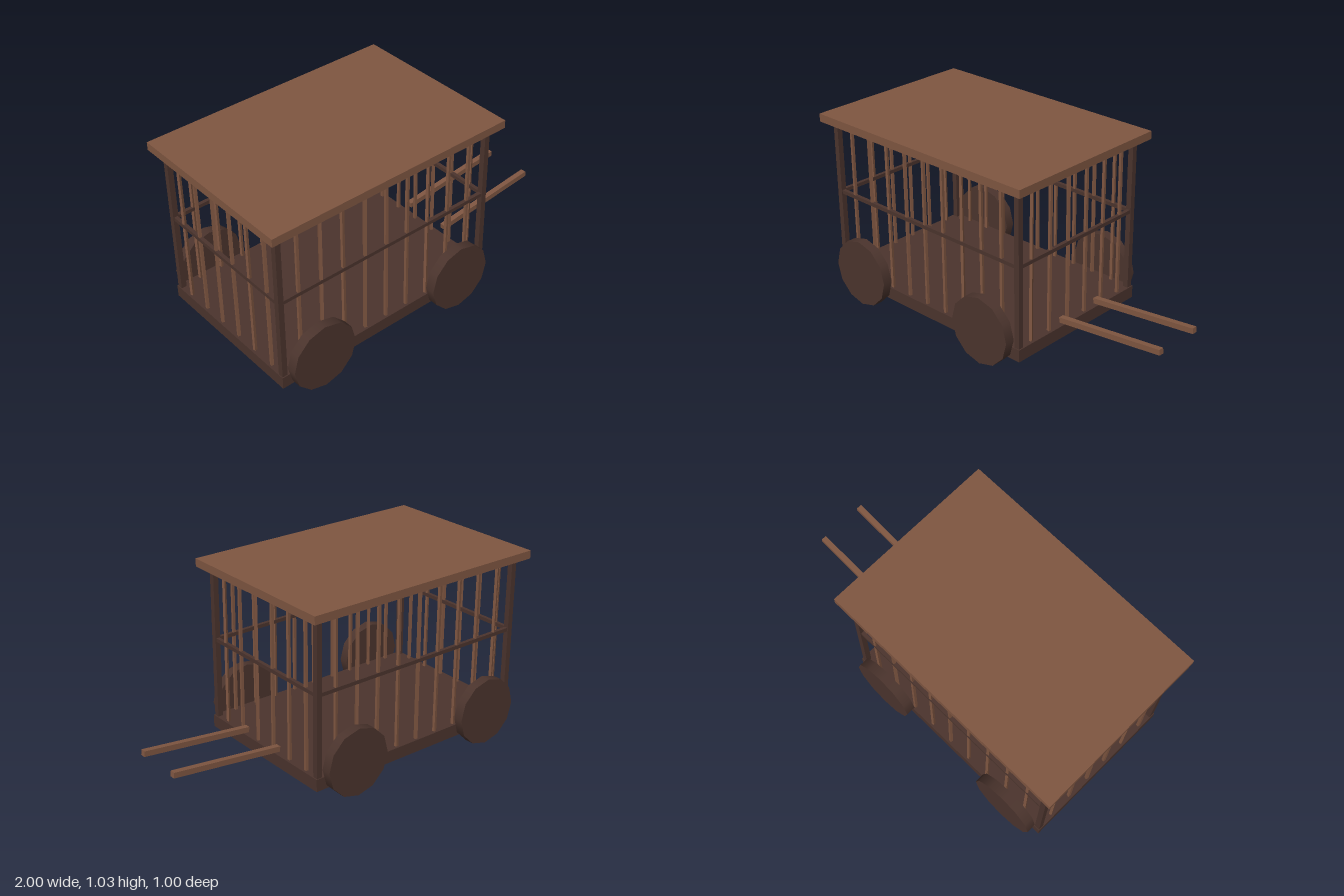
import * as THREE from 'three';

export function createModel() {
  const model = new THREE.Group();
  model.name = 'cageWagon';
  const lightWood = new THREE.MeshStandardMaterial({ color: 0x7f5641 });
  lightWood.name = 'light wood';
  const darkWood = new THREE.MeshStandardMaterial({ color: 0x4b342d });
  darkWood.name = 'dark wood';

  const add = (name, geometry, material, x, y, z, parent = model) => {
    const mesh = new THREE.Mesh(geometry, material);
    mesh.name = name;
    mesh.position.set(x, y, z);
    parent.add(mesh);
    return mesh;
  };
  const box = (name, w, h, d, material, x, y, z, parent) =>
    add(name, new THREE.BoxGeometry(w, h, d), material, x, y, z, parent);

  // Small seeded wobble for the hand-made bars
  let seed = 7;
  const wobble = (amount) => {
    seed = (seed * 16807) % 2147483647;
    return (seed / 2147483647 - 0.5) * 2 * amount;
  };

  const midX = -0.291, halfX = 0.645, halfZ = 0.425;

  // Floor and roof slabs
  box('floor', 1.33, 0.068, 0.89, darkWood, -0.29, 0.109, 0);
  box('roof', 1.42, 0.044, 0.978, lightWood, -0.29, 1.009, 0);

  // Corner posts and the middle rails joining them
  for (const s of [-1, 1]) {
    for (const t of [-1, 1]) {
      box('cornerPost', 0.03, 0.85, 0.03, darkWood, midX + s * halfX, 0.565, t * halfZ);
    }
    box('sideRail', halfX * 2, 0.02, 0.02, darkWood, midX, 0.589, s * halfZ);
    box('endRail', 0.02, 0.02, halfZ * 2, darkWood, midX + s * halfX, 0.589, 0);
  }

  // Cage bars, each leaning and twisted a little
  const bars = new THREE.Group();
  bars.name = 'cageBars';
  model.add(bars);
  const bar = (x, z) => {
    const m = box('cageBar', 0.015, 0.835, 0.015, lightWood, x, 0.547, z, bars);
    m.rotation.set(wobble(0.004), wobble(0.4), wobble(0.004));
  };
  for (const s of [-1, 1]) {
    for (let i = 0; i < 9; i++) bar(midX + (i - 4) * 0.1335, s * halfZ);
    for (let i = 0; i < 6; i++) bar(midX + s * halfX, (i - 2.5) * 0.134);
  }

  // Solid twelve-sided wheels
  const wheelGeometry = new THREE.CylinderGeometry(0.187, 0.187, 0.054, 12)
    .rotateX(Math.PI / 2);
  for (const x of [-0.735, 0.152]) {
    for (const s of [-1, 1]) add('wheel', wheelGeometry, darkWood, x, 0.187, s * 0.472);
  }

  // Two pulling shafts rising away from the wagon
  for (const s of [-1, 1]) {
    const shaft = box('shaft', 0.627, 0.03, 0.03, lightWood, 0.686, 0.222, s * 0.133);
    shaft.rotation.z = 0.11;
  }
  return model;
}
